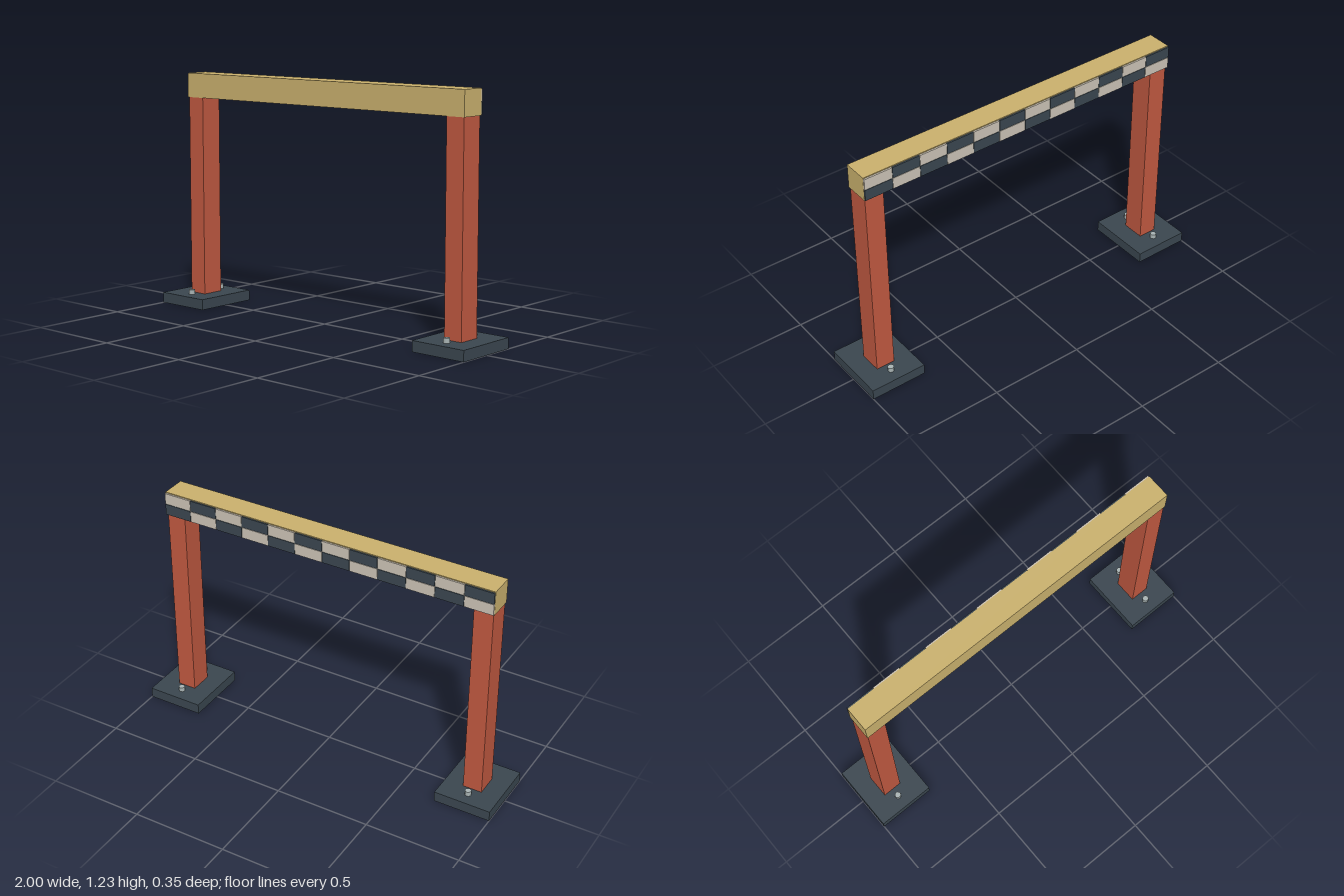
import * as THREE from 'three';

const flat = (name, color) => {
  const m = new THREE.MeshStandardMaterial({ color });
  m.name = name;
  return m;
};

export function createModel() {
  const wood = flat('beam tan', 0xc9b06d);
  const red = flat('post red', 0xbf5840);
  const slate = flat('dark slate', 0x3a464f);
  const pale = flat('pale tile', 0xcac2b5);
  const steel = flat('bolt steel', 0xa9b4b4);

  const root = new THREE.Group();
  root.name = 'finishGate';

  const add = (parent, name, geometry, material, x, y, z) => {
    const mesh = new THREE.Mesh(geometry, material);
    mesh.name = name;
    mesh.position.set(x, y, z);
    parent.add(mesh);
  };

  // Two posts, each on a bolted foot plate
  const plate = new THREE.BoxGeometry(0.3, 0.055, 0.35);
  const post = new THREE.BoxGeometry(0.1, 1.06, 0.12);
  const bolt = new THREE.CylinderGeometry(0.016, 0.016, 0.03, 10);
  for (const side of [1, -1]) {
    const leg = new THREE.Group();
    leg.name = side > 0 ? 'leftLeg' : 'rightLeg';
    leg.position.x = side * 0.85;
    add(leg, 'footPlate', plate, slate, 0, 0.0275, 0);
    add(leg, 'post', post, red, 0, 0.57, 0);
    for (const z of [0.107, -0.107]) add(leg, 'bolt', bolt, steel, 0, 0.065, z);
    root.add(leg);
  }

  // Crossbeam
  add(root, 'crossbeam', new THREE.BoxGeometry(1.81, 0.127, 0.129), wood, 0, 1.1625, 0);

  // Two rows of chequered tiles on the back of the beam
  const columns = 12, pitch = 1.81 / columns;
  const tile = new THREE.BoxGeometry(pitch - 0.002, 0.058, 0.009);
  const banner = new THREE.Group();
  banner.name = 'chequeredBanner';
  for (let c = 0; c < columns; c++) {
    for (let r = 0; r < 2; r++) {
      const x = (c - (columns - 1) / 2) * pitch;
      add(banner, 'tile', tile, (c + r) % 2 ? slate : pale, x, 1.132 + r * 0.06, -0.0687);
    }
  }
  // Tiles at the model's left end are dark below and pale above
  root.add(banner);
  return root;
}
